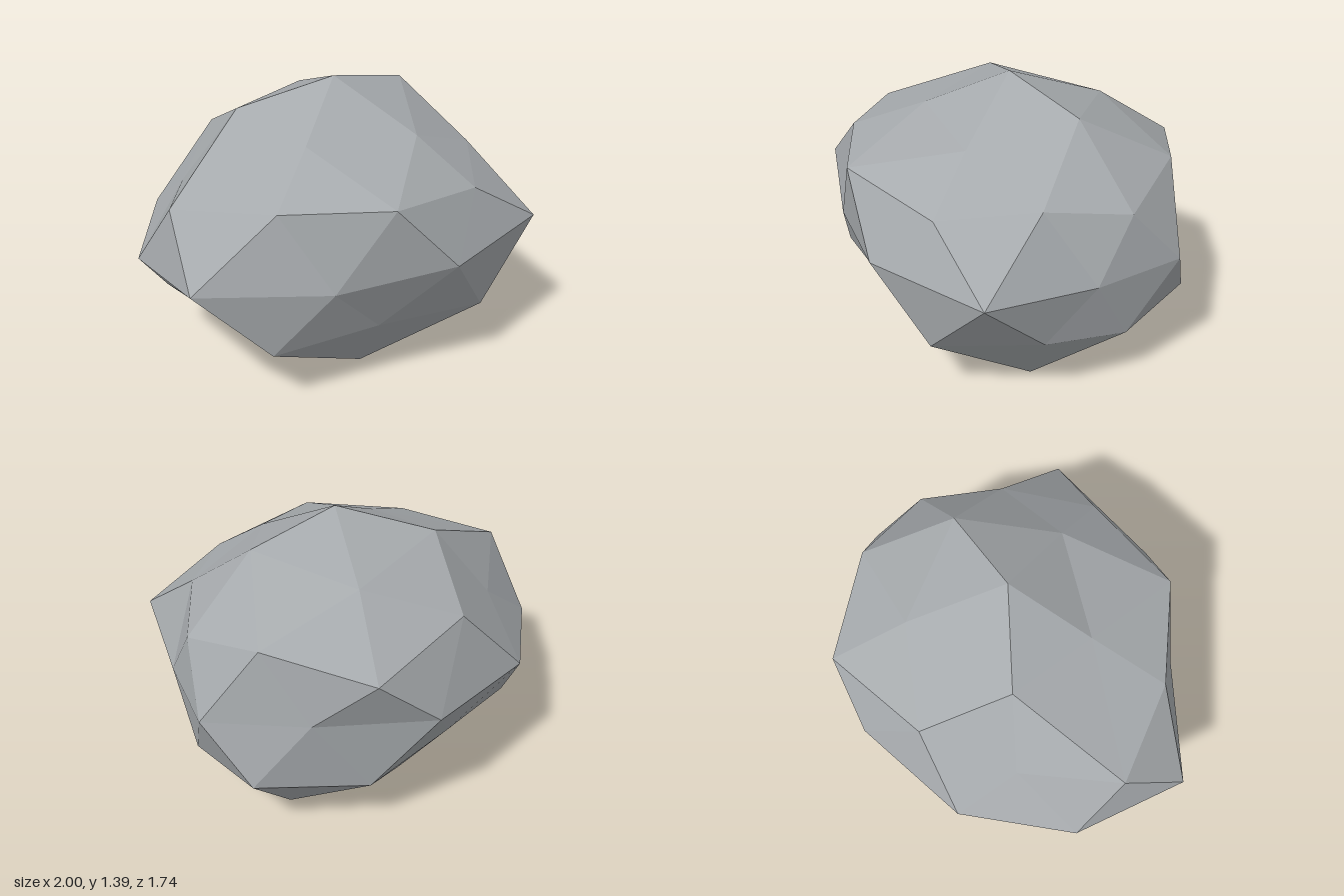
import * as THREE from 'three';

// Cross-section rings of the stone, each running from +x towards +z.
const top = [0.1, 1.39, 0];
const crown = [[0.56, 1.29, 0], [0.26, 1.16, 0.42], [-0.27, 1.18, 0.22], [-0.31, 1.25, -0.25], [0.27, 1.21, -0.46]];
const shoulder = [[0.91, 0.94, 0], [0.37, 0.95, 0.71], [-0.61, 1.01, 0.42], [-0.55, 0.9, -0.39], [0.41, 0.945, -0.82]];
const shoulderMid = [[0.7, 1.0, 0.36], [-0.2, 1.02, 0.755], [-0.885, 0.97, -0.01], [-0.16, 1.035, -0.675], [0.77, 1.04, -0.42]];
const waist = [
  [0.91, 0.645, 0.21], [0.77, 0.7, 0.77], [0.1, 0.685, 0.87], [-0.45, 0.635, 0.63], [-1, 0.685, 0.29],
  [-0.905, 0.62, -0.28], [-0.51, 0.66, -0.71], [0.1, 0.675, -0.87], [0.63, 0.7, -0.62], [1, 0.65, -0.25],
];
const lower = [[0.79, 0.375, 0.42], [-0.15, 0.35, 0.61], [-0.68, 0.36, 0], [-0.14, 0.36, -0.63], [0.86, 0.35, -0.47]];
const lowerMid = [[0.91, 0.305, 0], [0.4, 0.33, 0.77], [-0.67, 0.32, 0.45], [-0.64, 0.305, -0.455], [0.37, 0.305, -0.71]];
const foot = [[0.54, 0, 0.26], [-0.05, 0, 0.38], [-0.35, 0, 0], [-0.04, 0, -0.38], [0.565, 0, -0.29]];
const bottom = [0.1, 0, 0];

function rockGeometry() {
  const positions = [];
  // Corners are listed clockwise and reversed so the faces point outwards.
  const tri = (a, b, c) => positions.push(...c, ...b, ...a);

  // Five identical sectors of a once-subdivided icosahedron.
  for (let k = 0; k < 5; k++) {
    const n = (k + 1) % 5;
    const w0 = waist[2 * k], w1 = waist[2 * k + 1], w2 = waist[2 * n];
    // cap
    tri(top, crown[k], crown[n]);
    tri(crown[k], shoulder[k], shoulderMid[k]);
    tri(crown[k], shoulderMid[k], crown[n]);
    tri(crown[n], shoulderMid[k], shoulder[n]);
    // belt
    tri(shoulder[k], w0, shoulderMid[k]);
    tri(shoulderMid[k], w0, w1);
    tri(shoulderMid[k], w1, shoulder[n]);
    tri(w0, lower[k], w1);
    tri(shoulder[n], w1, w2);
    tri(w1, lower[k], lowerMid[n]);
    tri(w1, lowerMid[n], w2);
    tri(w2, lowerMid[n], lower[n]);
    // flattened underside
    tri(lower[k], foot[k], lowerMid[n]);
    tri(lowerMid[n], foot[k], foot[n]);
    tri(lowerMid[n], foot[n], lower[n]);
    tri(foot[k], bottom, foot[n]);
  }

  // Separate corners give every facet its own flat normal.
  const geometry = new THREE.BufferGeometry();
  geometry.setAttribute('position', new THREE.Float32BufferAttribute(positions, 3));
  geometry.computeVertexNormals();
  return geometry;
}

export function createModel() {
  const group = new THREE.Group();
  group.name = 'boulder';

  const stone = new THREE.MeshStandardMaterial({ color: 0xa6aaad, flatShading: true });
  stone.name = 'stone grey';

  const rock = new THREE.Mesh(rockGeometry(), stone);
  rock.name = 'rock';
  group.add(rock);
  return group;
}
